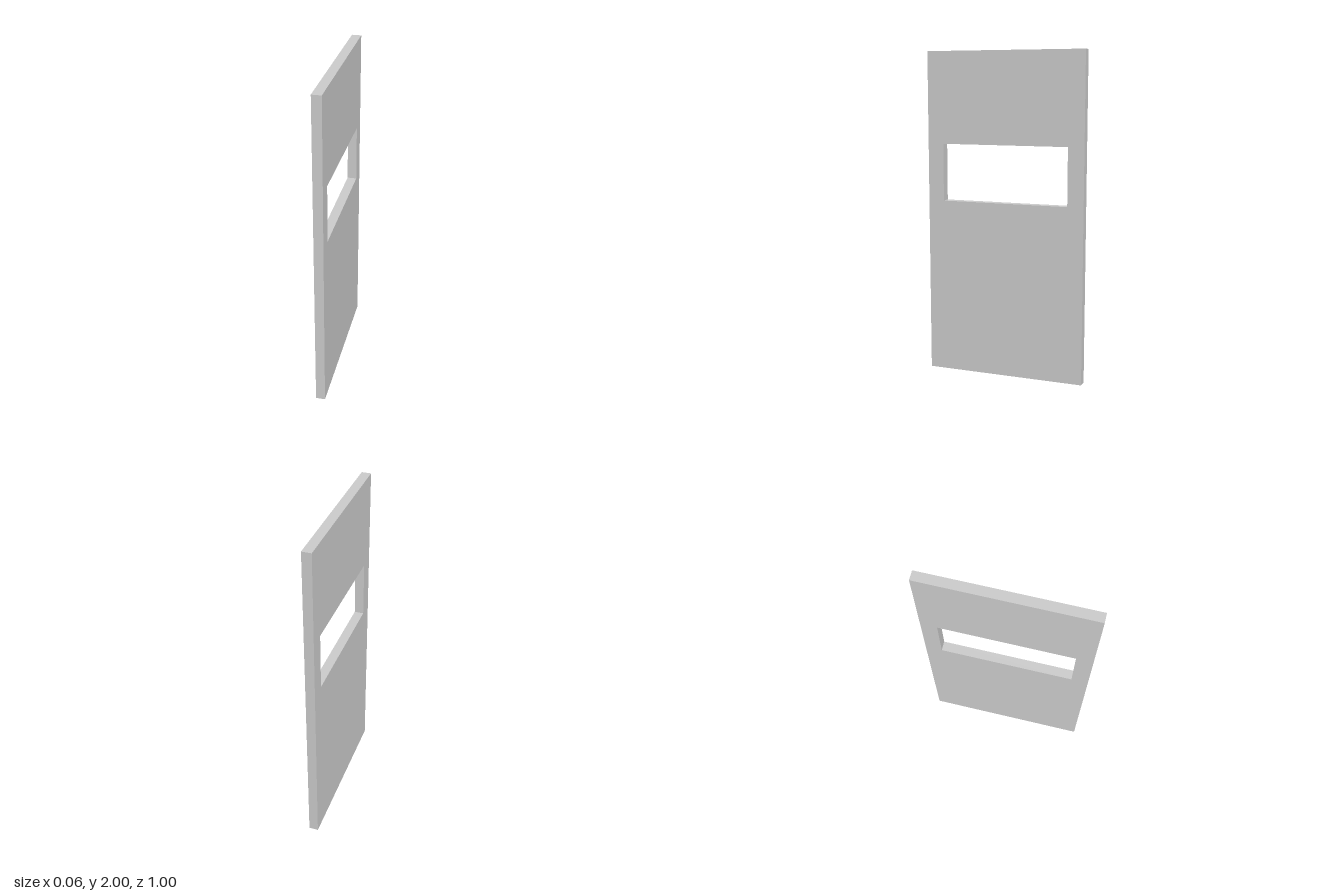
import * as THREE from 'three';

const HEIGHT = 2, WIDTH = 1, THICKNESS = 0.057;
const WINDOW = { halfWidth: 0.4, bottom: 1.085, top: 1.438 };

// Rectangle outline symmetric about the vertical axis
function rectangle(PathType, halfWidth, bottom, top) {
  const path = new PathType();
  path.moveTo(-halfWidth, bottom);
  path.lineTo(halfWidth, bottom);
  path.lineTo(halfWidth, top);
  path.lineTo(-halfWidth, top);
  path.closePath();
  return path;
}

export function createModel() {
  const group = new THREE.Group();
  group.name = 'windowedPanel';

  // Upright slab with a rectangular window opening
  const outline = rectangle(THREE.Shape, WIDTH / 2, 0, HEIGHT);
  outline.holes.push(rectangle(THREE.Path, WINDOW.halfWidth, WINDOW.bottom, WINDOW.top));
  const geometry = new THREE.ExtrudeGeometry(outline, { depth: THICKNESS, bevelEnabled: false });
  geometry.translate(0, 0, -THICKNESS / 2);
  geometry.rotateY(Math.PI / 2); // broad faces look along x

  const panel = new THREE.Mesh(geometry, new THREE.MeshStandardMaterial({ color: 0xcccccc }));
  panel.name = 'doorPanel';
  group.add(panel);
  return group;
}
